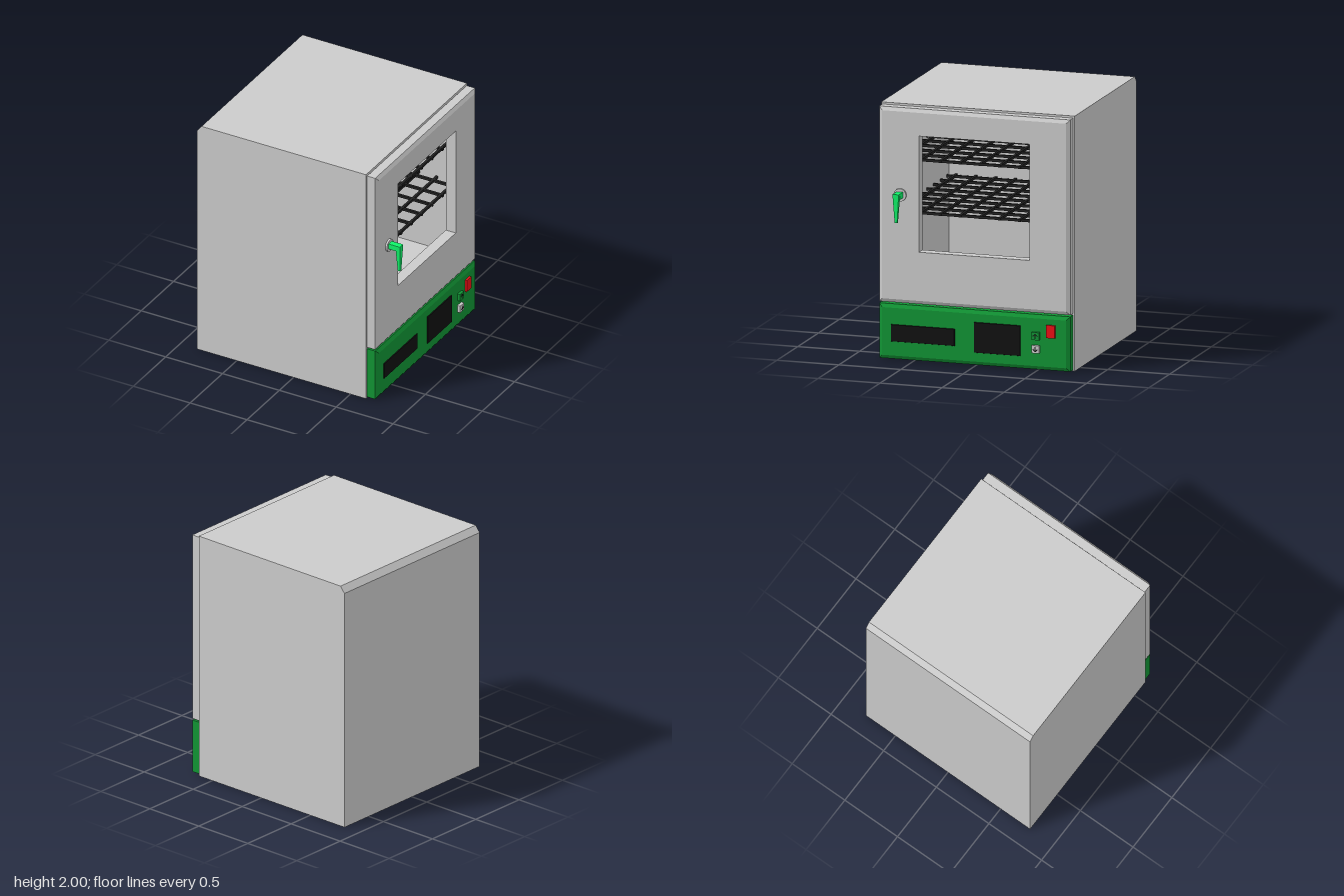
import * as THREE from 'three';

const mat = (color) => new THREE.MeshStandardMaterial({ color });
const GREY = mat(0xcccccc), GREEN = mat(0x119434), LIME = mat(0x10f56a);
const BLACK = mat(0x111111), RED = mat(0xee1015), WIRE = mat(0x222222);

function add(parent, name, geometry, material) {
  const mesh = new THREE.Mesh(geometry, material);
  mesh.name = name;
  parent.add(mesh);
  return mesh;
}

// Axis-aligned box from its limits
function box(parent, name, material, [x0, x1], [y0, y1], [z0, z1]) {
  const g = new THREE.BoxGeometry(x1 - x0, y1 - y0, z1 - z0);
  g.translate((x0 + x1) / 2, (y0 + y1) / 2, (z0 + z1) / 2);
  return add(parent, name, g, material);
}

const polygon = (pts) => new THREE.Shape(pts.map(([x, y]) => new THREE.Vector2(x, y)));
const rect = (w, h, y = 0) => [[-w / 2, y - h / 2], [w / 2, y - h / 2], [w / 2, y + h / 2], [-w / 2, y + h / 2]];
const extrude = (shape, depth) => new THREE.ExtrudeGeometry(shape, { depth, bevelEnabled: false });

// Upright plate facing +x; its outer rim shrinks by inset towards the front
function plate(w, h, depth, inset = 0, hole = null) {
  const shape = polygon(rect(w, h));
  if (hole) shape.holes.push(polygon(hole));
  const g = extrude(shape, depth);
  const p = g.attributes.position;
  for (let i = 0; i < p.count; i++) {
    if (p.getZ(i) < depth / 2) continue;
    if (Math.abs(p.getX(i)) > w / 2 - 1e-4) p.setX(i, p.getX(i) * (1 - 2 * inset / w));
    if (Math.abs(p.getY(i)) > h / 2 - 1e-4) p.setY(i, p.getY(i) * (1 - 2 * inset / h));
  }
  g.computeVertexNormals();
  return g.rotateY(Math.PI / 2);
}

// Straight slab with a bevelled front layer
function bevelledSlab(parent, name, material, w, h, y, hole) {
  const group = new THREE.Group();
  group.name = name;
  add(group, name + 'Base', plate(w, h, 0.07, 0, hole), material).position.set(0.642, y, 0);
  add(group, name + 'Front', plate(w, h, 0.018, 0.028, hole), material).position.set(0.712, y, 0);
  parent.add(group);
}

function buildCabinet(parent) {
  const group = new THREE.Group();
  group.name = 'cabinet';
  // Top, back and bottom in one C-shaped profile around the chamber
  const shell = polygon([[-0.85, 0], [0.637, 0], [0.637, 0.5], [-0.75, 0.5], [-0.75, 1.9],
    [0.637, 1.9], [0.637, 2], [-0.81, 2], [-0.85, 1.95]]);
  add(group, 'cabinetShell', extrude(shell, 1.4).translate(0, 0, -0.7), GREY);
  const side = polygon([[-0.85, 0], [0.637, 0], [0.637, 2], [-0.81, 2], [-0.85, 1.95]]);
  for (const z of [-0.78, 0.7]) add(group, 'sideWall', extrude(side, 0.08).translate(0, 0, z), GREY);
  // Recessed seal joining cabinet and door
  const seal = plate(1.46, 1.46, 0.006, 0, rect(1.38, 1.38));
  add(group, 'doorSeal', seal, BLACK).position.set(0.6365, 1.22, 0);
  parent.add(group);
}

// Wire shelf made of crossing rods
function buildRack(parent, y) {
  const rack = new THREE.Group();
  rack.name = 'rack';
  const r = 0.01;
  for (let i = 0; i <= 8; i++) {
    const x = -0.7 + i * 0.16;
    box(rack, 'crossRod', WIRE, [x - r, x + r], [y - r, y + r], [-0.7, 0.7]);
  }
  for (let i = 0; i <= 8; i++) {
    const z = -0.64 + i * 0.16;
    box(rack, 'longRod', WIRE, [-0.75, 0.6], [y - r, y + r], [z - r, z + r]);
  }
  parent.add(rack);
}

function buildHandle(parent) {
  const handle = new THREE.Group();
  handle.name = 'handle';
  const disc = new THREE.CylinderGeometry(0.05, 0.05, 0.017, 32).rotateZ(-Math.PI / 2);
  add(handle, 'handleRosette', disc, GREY).position.x = 0.737;
  box(handle, 'handleShaft', LIME, [0.745, 0.815], [-0.02, 0.025], [-0.025, 0.025]);
  // Lever tapering towards its lower end
  const lever = new THREE.BoxGeometry(1, 1, 1);
  const p = lever.attributes.position;
  for (let i = 0; i < p.count; i++) {
    const top = p.getY(i) > 0;
    const outer = p.getX(i) > 0;
    p.setXYZ(i, top ? (outer ? 0.845 : 0.803) : (outer ? 0.837 : 0.817),
      top ? 0.025 : -0.2, p.getZ(i) * (top ? 0.05 : 0.02));
  }
  lever.computeVertexNormals();
  add(handle, 'handleLever', lever, LIME);
  handle.position.set(0, 1.305, 0.595);
  parent.add(handle);
}

function buildControls(parent) {
  bevelledSlab(parent, 'controlPanel', GREEN, 1.54, 0.43, 0.227);
  add(parent, 'nameplate', plate(0.515, 0.135, 0.008, 0.003), BLACK).position.set(0.729, 0.218, 0.413);
  add(parent, 'display', plate(0.375, 0.24, 0.008, 0.003), BLACK).position.set(0.729, 0.23, -0.188);
  box(parent, 'powerSwitch', RED, [0.725, 0.748], [0.27, 0.37], [-0.655, -0.585]);

  // Two push buttons with pointers up and down
  const pointer = polygon([[-0.004, -0.021], [0.004, -0.021], [0.004, 0.01], [0.016, -0.003],
    [0.021, 0.002], [0, 0.022], [-0.021, 0.002], [-0.016, -0.003], [-0.004, 0.01]]);
  for (const [name, y, material, turn] of [['upButton', 0.278, GREEN, 0], ['downButton', 0.175, GREY, Math.PI]]) {
    box(parent, name, material, [0.725, 0.754], [y - 0.03, y + 0.03], [-0.53, -0.47]);
    const g = extrude(pointer, 0.002).rotateZ(turn).rotateY(Math.PI / 2);
    add(parent, name + 'Pointer', g, BLACK).position.set(0.7535, y, -0.5);
  }
}

export function createModel() {
  const model = new THREE.Group();
  model.name = 'incubator';
  buildCabinet(model);
  for (const y of [1.14, 1.555]) buildRack(model, y);
  // Door with its open window
  bevelledSlab(model, 'door', GREY, 1.54, 1.53, 1.22, rect(0.89, 0.91, 0.1));
  buildHandle(model);
  buildControls(model);
  return model;
}
